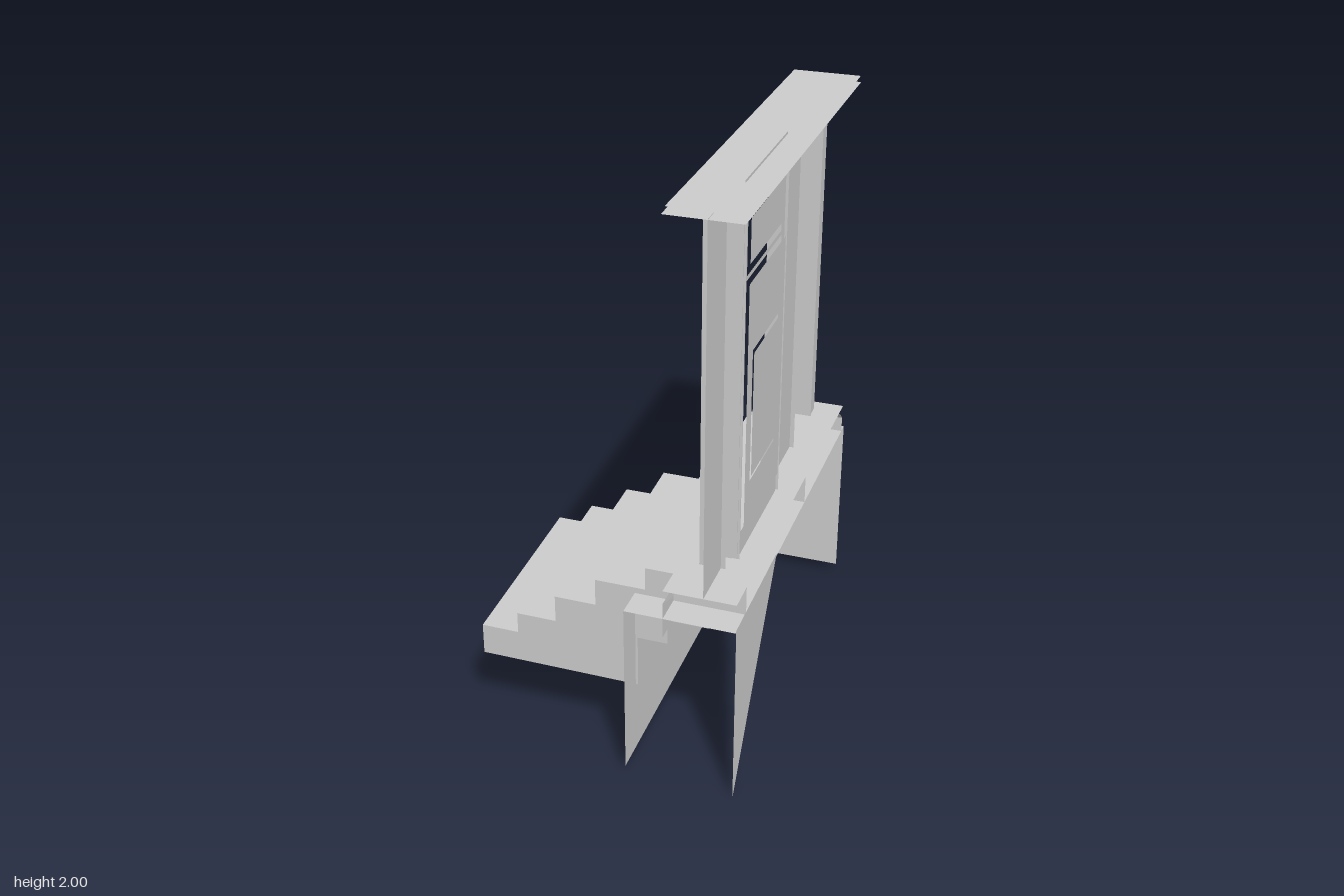
import * as THREE from 'three';

const mat = new THREE.MeshStandardMaterial({ color: 0xcccccc, side: THREE.DoubleSide, flatShading: true });

export function createModel() {
  const model = new THREE.Group();
  const add = (name, geo) => {
    const mesh = new THREE.Mesh(geo, mat);
    mesh.name = name;
    model.add(mesh);
  };

  // four-cornered sheet
  const quad = (name, ...p) => {
    const g = new THREE.BufferGeometry();
    g.setAttribute('position', new THREE.Float32BufferAttribute(p.flat(), 3));
    g.setIndex([0, 1, 2, 0, 2, 3]);
    g.computeVertexNormals();
    add(name, g);
  };
  // upright sheets across x and across z, and level sheets
  const plateX = (name, x, z0, z1, y0, y1) =>
    quad(name, [x, y0, z0], [x, y0, z1], [x, y1, z1], [x, y1, z0]);
  const plateZ = (name, z, x0, x1, y0, y1) =>
    quad(name, [x0, y0, z], [x0, y1, z], [x1, y1, z], [x1, y0, z]);
  const sheet = (name, y, x0, x1, z0, z1) =>
    quad(name, [x0, y, z0], [x0, y, z1], [x1, y, z1], [x1, y, z0]);

  // outline with holes, drawn as [z0, z1, y0, y1] and set upright at x
  const rect = ([a, b, c, d]) => [[a, c], [b, c], [b, d], [a, d]].map(q => new THREE.Vector2(...q));
  const framed = (name, x, outer, ...holes) => {
    const s = new THREE.Shape(rect(outer));
    for (const h of holes) s.holes.push(new THREE.Path(rect(h)));
    add(name, new THREE.ShapeGeometry(s).rotateY(-Math.PI / 2).translate(x, 0, 0));
  };

  // foundation
  plateX('foundationFront', 0.092, -0.688, 0.695, 0.035, 0.645);
  plateZ('foundationEnd', -0.688, 0.092, 0.456, 0.035, 0.645);
  sheet('foundationCap', 0.645, 0.092, 0.456, -0.688, 0.695);
  quad('foundationBrace', [0.456, 0, 0.695], [0.456, 0.655, 0.695], [0.456, 0.655, 0.24], [0.456, 0.655, 0.24]);

  // plinth band, sloping sill and mitred return
  plateX('plinthBand', 0.22, -0.65, 0.695, 0.575, 0.70);
  plateZ('plinthBandEnd', -0.65, 0.22, 0.456, 0.575, 0.70);
  quad('sill', [0.22, 0.70, -0.65], [0.22, 0.70, 0.695], [0.25, 0.73, 0.695], [0.25, 0.73, -0.62]);
  quad('sillEnd', [0.22, 0.70, -0.65], [0.25, 0.73, -0.62], [0.456, 0.73, -0.62], [0.456, 0.70, -0.65]);
  sheet('wallBase', 0.747, 0.22, 0.456, -0.655, 0.695);

  // top sheets
  sheet('lowerCornice', 1.968, 0.217, 0.456, -0.655, 0.695);
  sheet('upperCornice', 1.992, 0.228, 0.456, -0.645, 0.695);

  // stairs: slightly skewed treads and risers, open underneath
  const xs = [-0.457, -0.33, -0.195, -0.055, 0.113, 0.456];
  const ys = [0.29, 0.40, 0.475, 0.57, 0.665, 0.745];
  const zA = -0.115, zB = 0.59, skew = 0.013;
  for (let i = 0; i < 5; i++) {
    const a = xs[i], b = xs[i + 1], y = ys[i + 1], end = i === 4 ? 0 : skew;
    quad('riser', [a, ys[i], zA], [a + skew, ys[i], zB], [a + skew, y, zB], [a, y, zA]);
    quad('tread', [a, y, zA], [a + skew, y, zB], [b + end, y, zB], [b, y, zA]);
  }
  for (const [z, dx] of [[zA, 0], [zB, skew]]) {
    const pts = [];
    for (let i = 0; i < 5; i++) pts.push([xs[i] + dx, ys[i]], [xs[i] + dx, ys[i + 1]]);
    pts.push([0.456, 0.745], [0.456, 0.64], [0.335, 0.64], [0.335, 0.565],
      [0.2, 0.565], [0.2, 0.475], [0.1, 0.475], [0.1, 0.29]);
    const s = new THREE.Shape(pts.map(p => new THREE.Vector2(...p)));
    add('stairSide', new THREE.ShapeGeometry(s).translate(0, 0, z));
  }

  // wall panels
  plateX('leftWall', 0.35, 0.517, 0.695, 0.747, 1.97);
  plateX('rightWall', 0.35, -0.295, -0.056, 0.747, 1.97);
  plateX('wallEdge', 0.365, -0.58, -0.53, 0.76, 1.975);

  // pilaster beside the door and corner column
  plateX('pilasterFace', 0.28, 0.453, 0.517, 0.747, 1.97);
  plateZ('pilasterSide', 0.517, 0.28, 0.365, 0.747, 1.97);
  plateZ('pilasterSide', 0.453, 0.28, 0.365, 0.747, 1.97);
  plateX('columnFace', 0.275, -0.54, -0.295, 0.70, 1.985);
  for (const z of [-0.54, -0.295]) plateZ('columnSide', z, 0.275, 0.365, 0.745, 1.985);

  // door jambs
  plateX('jambFace', 0.327, -0.056, 0.0, 0.747, 1.97);
  for (const z of [0.0, 0.45]) plateZ('jambReveal', z, 0.327, 0.39, 0.747, 1.905);

  // door frame, door and panes
  framed('doorFrame', 0.383, [0.008, 0.453, 0.747, 2.0], [0.042, 0.42, 0.83, 1.68], [0.045, 0.416, 1.695, 1.89]);
  framed('door', 0.395, [0.035, 0.427, 0.83, 1.675], [0.098, 0.374, 0.99, 1.44]);
  plateX('doorPane', 0.397, 0.105, 0.366, 1.003, 1.428);
  plateX('transomPane', 0.39, 0.056, 0.406, 1.73, 1.872);

  return model;
}
